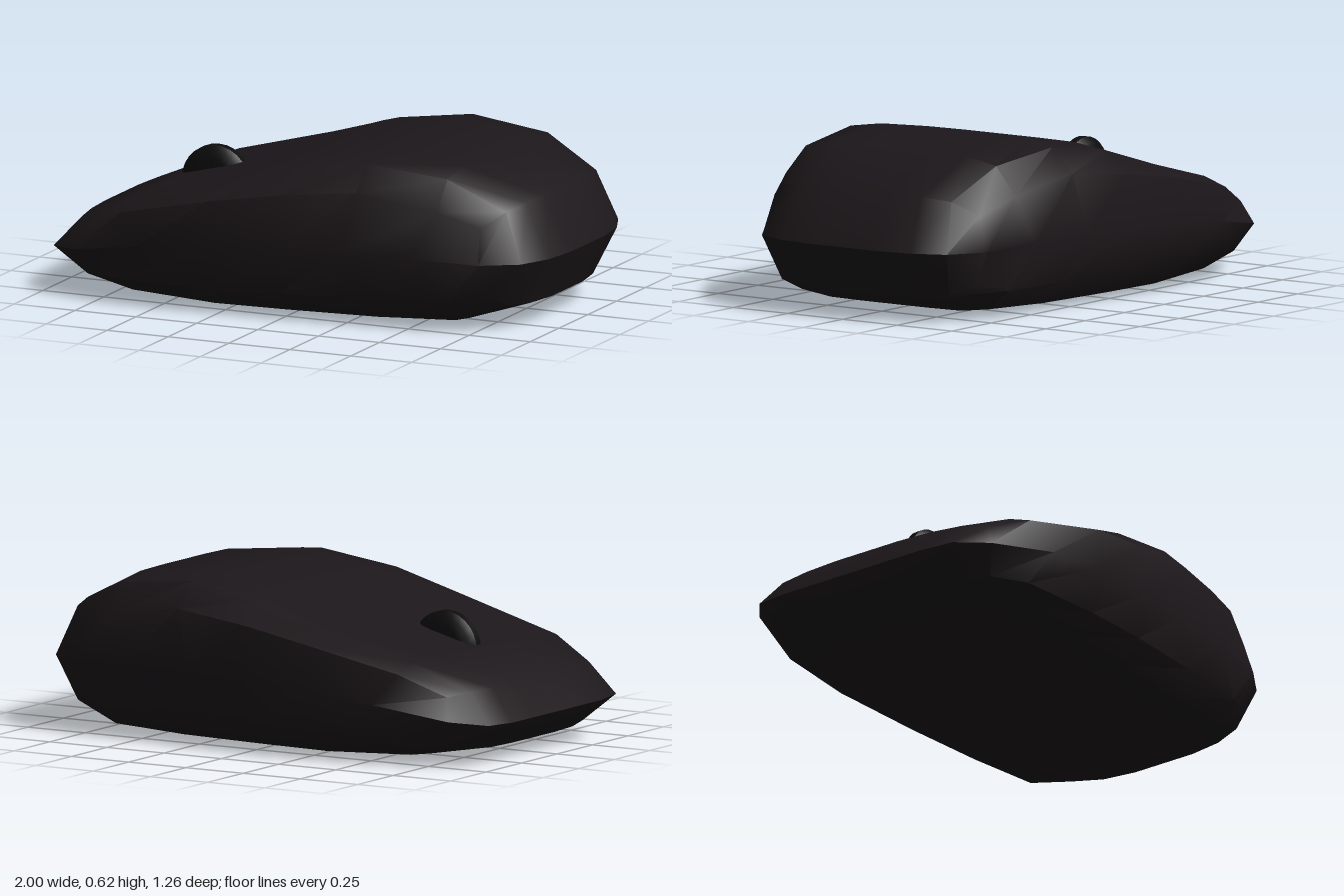
import * as THREE from 'three';
import { toCreasedNormals } from 'three/addons/utils/BufferGeometryUtils.js';

// Seven stations from nose to tail for each level of the shell
const LEVELS = [
  { // underside
    x: [-0.9, -0.65, -0.3, 0, 0.35, 0.66, 0.915],
    centreY: [0.055, 0.015, 0, 0, 0, 0.015, 0.09],
    rimY: [0.08, 0.09, 0.09, 0.1, 0.11, 0.11, 0.14],
    rimZ: [0.49, 0.555, 0.585, 0.575, 0.545, 0.515, 0.46],
    pull: [[0, 0, 0.01, 0.04, 0.1], [0, 0, 0.02, 0.06, 0.14]],
  },
  { // widest line
    x: [-1, -0.57, -0.3, 0, 0.25, 0.54, 1],
    centreY: [0.16, 0.24, 0.26, 0.27, 0.28, 0.28, 0.27],
    rimY: [0.18, 0.23, 0.26, 0.27, 0.28, 0.28, 0.27],
    rimZ: [0.54, 0.61, 0.63, 0.61, 0.58, 0.555, 0.51],
    pull: [[0, 0, 0, 0.02, 0.14], [0, 0, 0.02, 0.075, 0.21]],
  },
  { // top
    x: [-0.91, -0.65, -0.28, 0, 0.31, 0.63, 0.89],
    centreY: [0.28, 0.385, 0.48, 0.575, 0.625, 0.595, 0.47],
    rimY: [0.265, 0.345, 0.43, 0.475, 0.51, 0.46, 0.4],
    rimZ: [0.5, 0.56, 0.605, 0.58, 0.555, 0.525, 0.47],
    pull: [[0, 0, 0.01, 0.03, 0.08], [0, 0, 0.01, 0.04, 0.11]],
  },
];
const ROW_Z = [0, 0.29, 0.58, 0.83, 1];
const ROW_DROP = [0, 0, 0.02, 0.2, 1];

// Rounded shell: a gridded box whose vertices move to the stations above
function shellGeometry() {
  const geometry = new THREE.BoxGeometry(6, 2, 8, 6, 2, 8);
  const p = geometry.attributes.position;
  for (let n = 0; n < p.count; n++) {
    const i = Math.round(p.getX(n) + 3);
    const level = LEVELS[Math.round(p.getY(n) + 1)];
    const k = Math.round(p.getZ(n));
    const row = Math.abs(k);
    let x = level.x[i];
    if (i === 0) x += level.pull[0][row];
    if (i === 6) x -= level.pull[1][row];
    const y = THREE.MathUtils.lerp(level.centreY[i], level.rimY[i], ROW_DROP[row]);
    p.setXYZ(n, x, y, Math.sign(k) * ROW_Z[row] * level.rimZ[i]);
  }
  geometry.deleteAttribute('uv');
  return toCreasedNormals(geometry, 0.72);
}

// Scroll wheel with bevelled shoulders, axle along z
function wheelGeometry() {
  const profile = [[0, -0.045], [0.085, -0.045], [0.12, -0.036], [0.14, -0.015],
    [0.14, 0.015], [0.12, 0.036], [0.085, 0.045], [0, 0.045]]
    .map(([r, y]) => new THREE.Vector2(r, y));
  const geometry = new THREE.LatheGeometry(profile, 28);
  geometry.rotateX(Math.PI / 2);
  return toCreasedNormals(geometry, 0.6);
}

export function createModel() {
  const model = new THREE.Group();
  model.name = 'computerMouse';

  const shell = new THREE.Mesh(shellGeometry(), new THREE.MeshStandardMaterial({ color: 0x1c171a }));
  shell.name = 'shell';

  const wheel = new THREE.Mesh(wheelGeometry(), new THREE.MeshStandardMaterial({ color: 0x0c0c0d }));
  wheel.name = 'scrollWheel';
  wheel.position.set(-0.52, 0.36, 0);

  model.add(shell, wheel);
  return model;
}
